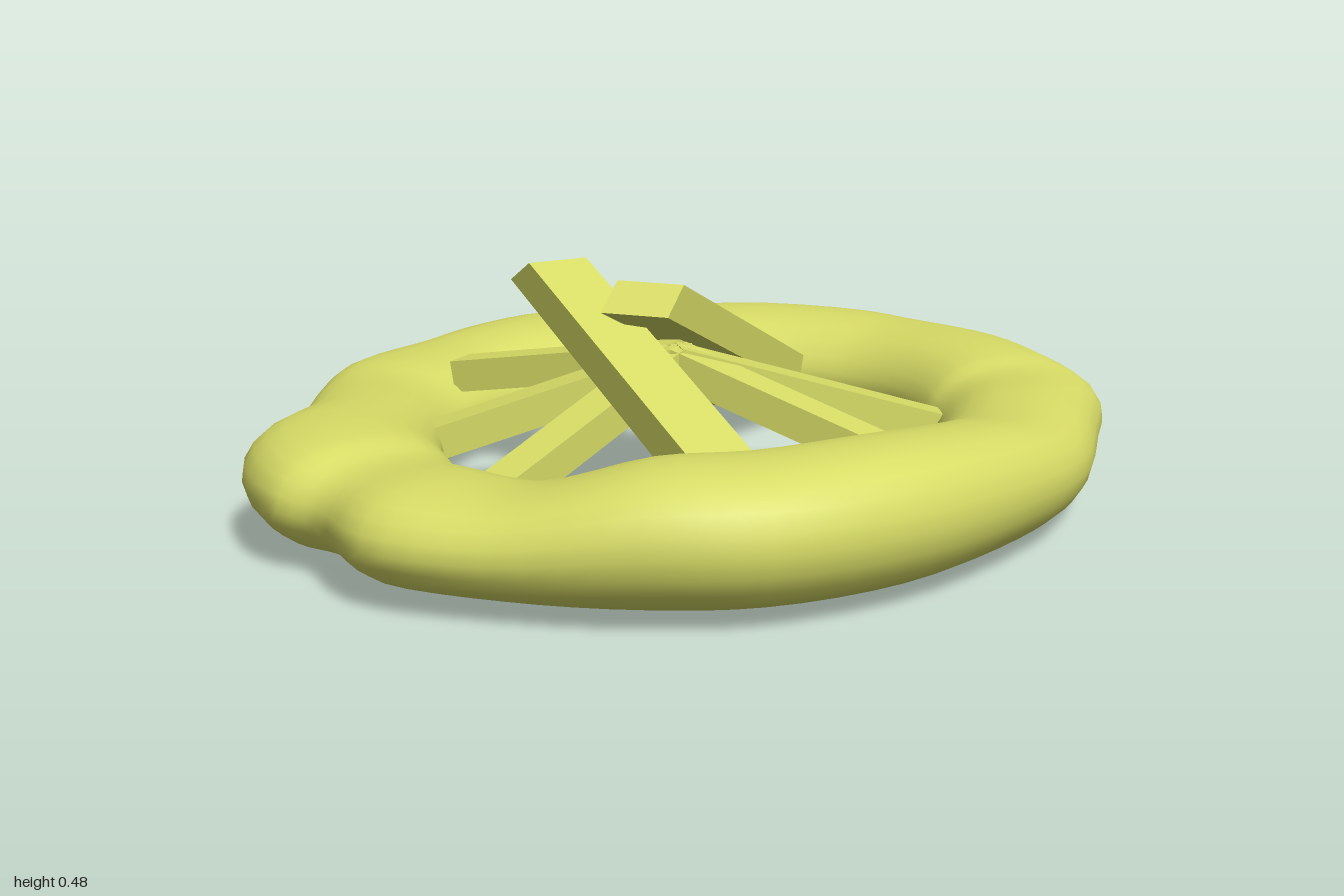
import * as THREE from 'three';

const material = new THREE.MeshStandardMaterial({ color: 0xd8dc66 });

// Outer rim of the ring: x, z and crest height at each station
const RIM = [
  [-0.24, -0.97, 0.235], [0.11, -1, 0.235], [0.27, -0.96, 0.23], [0.54, -0.79, 0.24], [0.7, -0.64, 0.235],
  [0.78, -0.56, 0.22], [0.83, -0.31, 0.225], [0.87, 0, 0.23], [0.84, 0.24, 0.255], [0.72, 0.59, 0.285],
  [0.51, 0.84, 0.285], [0.3, 0.94, 0.28], [0.02, 0.99, 0.22], [-0.22, 0.99, 0.22], [-0.39, 0.86, 0.21],
  [-0.51, 0.84, 0.235], [-0.68, 0.66, 0.24], [-0.73, 0.4, 0.225], [-0.84, 0.14, 0.21], [-0.88, -0.02, 0.22],
  [-0.84, -0.27, 0.22], [-0.78, -0.4, 0.235], [-0.66, -0.63, 0.24], [-0.49, -0.8, 0.215], [-0.44, -0.88, 0.22],
];

// Cross-section of the ring: 0..1 from hole to rim, 0..1 from base to crest
const SECTION = [
  [0, 0.45], [0.06, 0.2], [0.2, 0.05], [0.45, 0], [0.75, 0.05], [0.92, 0.22],
  [1, 0.5], [0.94, 0.78], [0.78, 0.95], [0.5, 1], [0.23, 0.92], [0.06, 0.7],
];

// Lumpy ring lofted between an oval hole and the uneven rim
function ringGeometry(stations = 100, around = 24) {
  const rim = new THREE.CatmullRomCurve3(RIM.map(([x, z, h]) => new THREE.Vector3(x, h, z)), true);
  const section = new THREE.CatmullRomCurve3(SECTION.map(([t, h]) => new THREE.Vector3(t, h, 0)), true);
  const positions = [];
  const index = [];
  for (let i = 0; i < stations; i++) {
    const o = rim.getPoint(i / stations);
    const cx = 0.025, cz = 0.01;
    const a = Math.atan2((o.z - cz) / 0.62, (o.x - cx) / 0.505);
    const ix = cx + 0.505 * Math.cos(a);
    const iz = cz + 0.62 * Math.sin(a);
    const base = 0.01 + 0.01 * o.z;
    for (let j = 0; j < around; j++) {
      const s = section.getPoint(j / around);
      positions.push(ix + (o.x - ix) * s.x, base + (o.y - base) * s.y, iz + (o.z - iz) * s.x);
      const i2 = (i + 1) % stations, j2 = (j + 1) % around;
      const p = i * around + j, q = i * around + j2, r = i2 * around + j, t = i2 * around + j2;
      index.push(p, q, r, q, t, r);
    }
  }
  const geometry = new THREE.BufferGeometry();
  geometry.setAttribute('position', new THREE.Float32BufferAttribute(positions, 3));
  geometry.setIndex(index);
  geometry.computeVertexNormals();
  return geometry;
}

// Square beam between two points; slant pulls back the upper edge of its far end
function beam(name, from, to, width, height, slant = 0) {
  const a = new THREE.Vector3(...from);
  const b = new THREE.Vector3(...to);
  const geometry = new THREE.BoxGeometry(width, height, a.distanceTo(b));
  const p = geometry.attributes.position;
  for (let i = 0; i < p.count; i++) {
    if (p.getZ(i) > 0 && p.getY(i) > 0) p.setZ(i, p.getZ(i) - slant);
  }
  geometry.computeVertexNormals();
  const mesh = new THREE.Mesh(geometry, material);
  mesh.name = name;
  mesh.position.copy(a).add(b).multiplyScalar(0.5);
  mesh.lookAt(b);
  return mesh;
}

export function createModel() {
  const group = new THREE.Group();
  group.name = 'firePit';

  const ring = new THREE.Mesh(ringGeometry(), material);
  ring.name = 'stoneRing';
  group.add(ring);

  // Two large logs leaning on the ring and crossing over the middle
  group.add(beam('backLog', [-0.02, 0.106, -0.66], [0.005, 0.467, 0.265], 0.145, 0.08, 0.066));
  group.add(beam('frontLog', [0.368, 0.11, 0.53], [-0.343, 0.467, -0.02], 0.137, 0.08, 0.066));

  // Kindling sticks rising from the ring to a common point
  const feet = [
    [-0.36, 0.16, -0.43], [-0.54, 0.2, -0.01], [-0.47, 0.12, 0.3],
    [-0.19, 0.09, 0.58], [0.56, 0.1, 0.065], [0.52, 0.1, -0.3],
  ];
  const sticks = new THREE.Group();
  sticks.name = 'kindling';
  feet.forEach((foot, i) => {
    sticks.add(beam(`stick${i + 1}`, foot, [0, 0.29, i === 1 ? 0.02 : 0.06], 0.085, 0.07));
  });
  group.add(sticks);

  return group;
}
